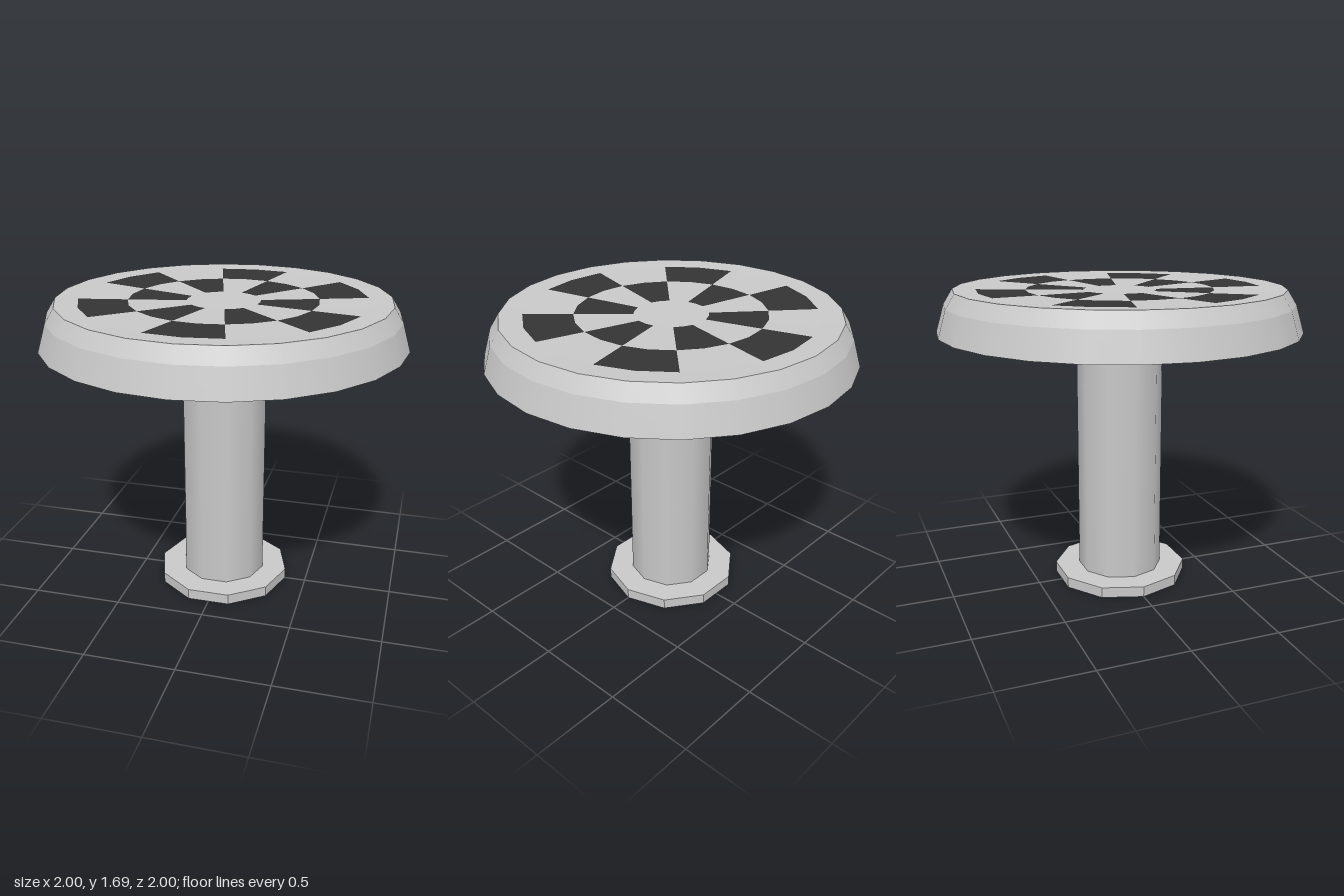
import * as THREE from 'three';

export function createModel() {
  const model = new THREE.Group();
  const paleGrey = new THREE.MeshStandardMaterial({ color: 0xc8c8c8, side: THREE.DoubleSide });
  const charcoal = new THREE.MeshStandardMaterial({ color: 0x343434, side: THREE.DoubleSide });
  paleGrey.name = 'paleGrey';
  charcoal.name = 'charcoal';

  const add = (name, geometry, material, parent = model) => {
    const mesh = new THREE.Mesh(geometry, material);
    mesh.name = name;
    parent.add(mesh);
    return mesh;
  };

  // ten-sided base plate and column, with a corner on the x axis
  const base = add('basePlate', new THREE.CylinderGeometry(0.38, 0.38, 0.06, 10).toNonIndexed(), paleGrey);
  base.geometry.computeVertexNormals();
  base.position.y = 0.03;
  base.rotation.y = Math.PI / 2;
  const column = add('column', new THREE.CylinderGeometry(0.24, 0.24, 1.38, 10), paleGrey);
  column.position.y = 0.75;
  column.rotation.y = Math.PI / 2;

  // open shell of the round top, turned from short profiles
  const top = new THREE.Group();
  top.name = 'roundTop';
  model.add(top);
  const turn = (profile, start = 0, length = Math.PI * 2, segments = 24) =>
    new THREE.LatheGeometry(profile.map(([r, y]) => new THREE.Vector2(r, y)), segments, start, length);

  const skirt = [1, 1.46], shoulder = [0.955, 1.61], lip = [0.905, 1.69];
  const outer = [0.78, 1.685], middle = [0.515, 1.68], inner = [0.2, 1.675], centre = [0, 1.675];
  add('skirt', turn([skirt, shoulder]), paleGrey, top);
  add('shoulder', turn([shoulder, lip]), paleGrey, top);
  add('lip', turn([lip, outer]), paleGrey, top);
  add('hub', turn([inner, centre]), paleGrey, top);

  // two rings of alternating tiles, offset from each other by one tile
  const step = Math.PI / 6;
  for (let k = 0; k < 12; k++) {
    const start = (k - 0.5) * step;
    const even = k % 2 === 0;
    add('outerTile', turn([outer, middle], start, step, 2), even ? charcoal : paleGrey, top);
    add('innerTile', turn([middle, inner], start, step, 2), even ? paleGrey : charcoal, top);
  }
  return model;
}
